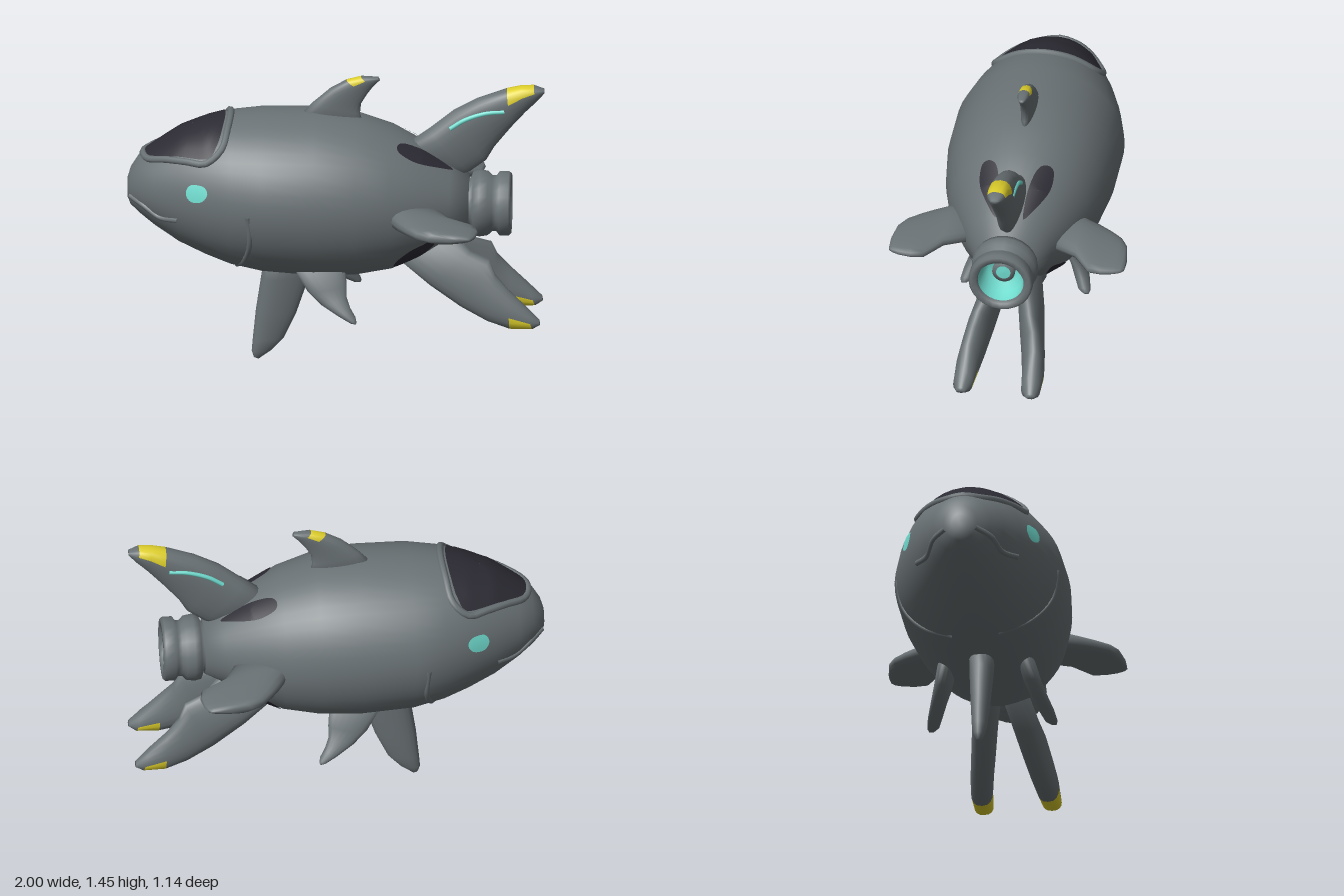
import * as THREE from 'three';

const mat = (name, color) => {
  const m = new THREE.MeshStandardMaterial({ color });
  m.name = name;
  return m;
};

// Body stations: x, top y, bottom y, half width
const BODY = [
  [-1.0, 0.92, 0.82, 0.04], [-0.985, 0.97, 0.785, 0.08], [-0.94, 1.04, 0.745, 0.14],
  [-0.87, 1.09, 0.69, 0.195], [-0.75, 1.17, 0.61, 0.265], [-0.62, 1.22, 0.55, 0.325],
  [-0.5, 1.25, 0.505, 0.37], [-0.35, 1.265, 0.475, 0.41], [-0.1, 1.27, 0.455, 0.41],
  [0.1, 1.245, 0.46, 0.385], [0.27, 1.19, 0.49, 0.34], [0.42, 1.11, 0.555, 0.27],
  [0.55, 1.02, 0.64, 0.2], [0.64, 0.95, 0.68, 0.135],
];

// Point on the body skin at x, angle a from the top (positive towards +z)
function onBody(x, a, off = 0) {
  let i = 0;
  while (i < BODY.length - 2 && BODY[i + 1][0] < x) i++;
  const [p, q] = [BODY[i], BODY[i + 1]];
  const t = (x - p[0]) / (q[0] - p[0]);
  const [top, bottom, half] = [1, 2, 3].map((k) => p[k] + (q[k] - p[k]) * t);
  return new THREE.Vector3(x, (top + bottom) / 2 + ((top - bottom) / 2 + off) * Math.cos(a),
    (half + off) * Math.sin(a));
}

// Joins rings of points into a surface; faces are turned away from centre c
function loft(rings, c, capStart, capEnd, slot = () => 0) {
  const n = rings[0].length;
  const pts = rings.flat();
  const lists = [[], []];
  for (let i = 0; i < rings.length - 1; i++) {
    for (let j = 0; j < n; j++) {
      const k = (j + 1) % n, a = i * n, b = a + n;
      lists[slot(i, j)].push(a + j, b + j, b + k, a + j, b + k, a + k);
    }
  }
  const cap = (start, flip) => {
    const mid = new THREE.Vector3();
    for (let j = 0; j < n; j++) mid.addScaledVector(pts[start + j], 1 / n);
    pts.push(mid);
    for (let j = 0; j < n; j++) {
      const e = [start + j, start + (j + 1) % n];
      if (flip) e.reverse();
      lists[0].push(pts.length - 1, ...e);
    }
  };
  if (capStart) cap(0, true);
  if (capEnd) cap((rings.length - 1) * n, false);
  if (capStart) { // a cap fan must run against the side walls on its shared edge
    const m = capEnd ? 2 : 1, l = lists[0], s = l.length - 3 * n * m;
    for (let f = s; f < l.length; f += 3) {
      const start = f < s + 3 * n;
      const [u, v] = [l[f + 1], l[f + 2]];
      const forward = (u + 1 === v) || (v < u && u - v === n - 1);
      if (forward !== start) [l[f + 1], l[f + 2]] = [v, u];
    }
  }
  const index = lists.flat();
  let volume = 0;
  const [A, B, C] = [new THREE.Vector3(), new THREE.Vector3(), new THREE.Vector3()];
  for (let f = 0; f < index.length; f += 3) {
    A.copy(pts[index[f]]).sub(c);
    B.copy(pts[index[f + 1]]).sub(c);
    C.copy(pts[index[f + 2]]).sub(c);
    volume += A.dot(B.cross(C));
  }
  if (volume < 0) {
    for (let f = 0; f < index.length; f += 3) [index[f], index[f + 1]] = [index[f + 1], index[f]];
  }
  const g = new THREE.BufferGeometry().setFromPoints(pts);
  g.setIndex(index);
  g.addGroup(0, lists[0].length, 0);
  g.addGroup(lists[0].length, lists[1].length, 1);
  g.computeVertexNormals();
  return g;
}

// Fin from stations [lead x, lead y, trail x, trail y, z, half thickness]
function fin(stations, side = 1, yellow = () => false) {
  const n = 20;
  const rings = stations.map(([lx, ly, tx, ty, z, w]) => Array.from({ length: n }, (_, j) => {
    const t = (j / n) * Math.PI * 2, c = Math.cos(t), s = Math.sin(t);
    const thick = w * Math.sign(s) * Math.abs(s) ** 0.8 * (1 + 0.25 * c);
    return new THREE.Vector3((lx + tx) / 2 + c * (lx - tx) / 2, (ly + ty) / 2 + c * (ly - ty) / 2,
      side * (z + thick));
  }));
  const nearLead = (j) => Math.cos(((j + 0.5) / n) * Math.PI * 2) > 0.25;
  return loft(rings, rings[0][0], true, true, (i, j) => (yellow(i) && nearLead(j) ? 1 : 0));
}

// Thin painted patch following the skin, from an outline of [x, angle]
function patch(outline, side = 1) {
  const loop = new THREE.CatmullRomCurve3(outline.map(([x, a]) => new THREE.Vector3(x, a, 0)), true)
    .getPoints(40).slice(0, 40);
  const mid = loop.reduce((s, p) => s.addScaledVector(p, 1 / 40), new THREE.Vector3());
  const rings = [1, 0.8, 0.6, 0.4, 0.2, 0.01].map((k) => loop.map((p) => {
    const q = mid.clone().lerp(p, k);
    return onBody(q.x, q.y * side, 0.006);
  }));
  return loft(rings, new THREE.Vector3(mid.x, 0.85, 0), false, false);
}

const tube = (points, r, closed = false) =>
  new THREE.TubeGeometry(new THREE.CatmullRomCurve3(points, closed), 48, r, 8, closed);

export function createModel() {
  const grey = mat('hullGrey', 0x6a7275);
  const dark = mat('darkGlass', 0x2c2b34);
  const cyan = mat('glowCyan', 0x70dccf);
  const yellow = mat('tipYellow', 0xdfd02c);
  const model = new THREE.Group();
  const add = (name, geometry, material) => {
    const m = new THREE.Mesh(geometry, material);
    m.name = name;
    model.add(m);
    return m;
  };

  // Hull
  const rings = BODY.map(([x]) => Array.from({ length: 48 }, (_, j) => onBody(x, (j / 48) * Math.PI * 2)));
  add('body', loft(rings, new THREE.Vector3(0, 0.85, 0), true, true), [grey, grey]);

  // Canopy and its frame
  const half = [[-0.895, 0.48], [-0.8, 0.7], [-0.7, 0.82], [-0.61, 0.87], [-0.565, 0.68], [-0.54, 0.35]];
  const canopy = [[-0.92, 0], ...half, [-0.53, 0], ...half.map(([x, a]) => [x, -a]).reverse()];
  add('canopy', patch(canopy), dark);
  add('canopyFrame', tube(canopy.map(([x, a]) =>
    onBody(x + (x > -0.58 ? 0.025 : -0.005), a * 1.07, -0.002)), 0.018, true), grey);

  // Tail fin
  add('tailFin', fin([
    [0.3, 1.08, 0.52, 0.93, 0, 0.06], [0.45, 1.19, 0.64, 0.97, 0, 0.06],
    [0.56, 1.28, 0.72, 1.03, 0, 0.058], [0.68, 1.345, 0.76, 1.1, 0, 0.055],
    [0.82, 1.395, 0.84, 1.2, 0, 0.055], [0.89, 1.41, 0.91, 1.28, 0, 0.05],
    [0.95, 1.412, 0.96, 1.33, 0, 0.042], [1, 1.395, 1, 1.375, 0, 0.02],
  ], 1, (i) => i === 4 || i === 5), [grey, yellow]);

  // Dorsal fin
  add('dorsalFin', fin([
    [-0.2, 1.22, 0.14, 1.17, 0, 0.035], [-0.11, 1.315, 0.115, 1.26, 0, 0.035],
    [-0.03, 1.385, 0.12, 1.31, 0, 0.033], [0.05, 1.43, 0.15, 1.36, 0, 0.03],
    [0.12, 1.448, 0.18, 1.4, 0, 0.028], [0.2, 1.445, 0.21, 1.43, 0, 0.015],
  ], 1, (i) => i === 3), [grey, yellow]);

  // Long belly fin
  add('bellyFin', fin([
    [-0.34, 0.55, -0.1, 0.55, 0, 0.06], [-0.36, 0.42, -0.13, 0.42, 0, 0.055],
    [-0.385, 0.25, -0.19, 0.24, 0, 0.045], [-0.4, 0.1, -0.25, 0.11, 0, 0.035],
    [-0.405, 0.04, -0.31, 0.045, 0, 0.025], [-0.395, 0.01, -0.37, 0, 0, 0.01],
  ]), [grey, grey]);

  for (const s of [1, -1]) {
    const tag = s > 0 ? 'Front' : 'Back';

    // Splayed lower tail fins
    add('lowerTailFin' + tag, fin([
      [0.28, 0.56, 0.55, 0.7, 0.06, 0.06], [0.45, 0.43, 0.65, 0.6, 0.1, 0.06],
      [0.6, 0.33, 0.74, 0.57, 0.125, 0.058], [0.73, 0.265, 0.77, 0.5, 0.145, 0.055],
      [0.84, 0.232, 0.83, 0.43, 0.16, 0.052], [0.95, 0.235, 0.92, 0.34, 0.165, 0.045],
      [0.985, 0.255, 0.98, 0.28, 0.17, 0.02],
    ], s, (i) => i === 4), [grey, yellow]);

    // Small pelvic fins
    add('pelvicFin' + tag, fin([
      [-0.2, 0.54, 0.05, 0.56, 0.19, 0.04], [-0.13, 0.43, 0.06, 0.46, 0.22, 0.04],
      [-0.06, 0.37, 0.06, 0.41, 0.245, 0.038], [0.02, 0.325, 0.08, 0.36, 0.27, 0.035],
      [0.08, 0.295, 0.105, 0.32, 0.287, 0.028], [0.105, 0.29, 0.11, 0.3, 0.297, 0.012],
    ], s), [grey, grey]);

    // Side fins: built upright, then laid flat
    const flat = fin([
      [0.24, 0.22, 0.52, 0.22, 0, 0.055], [0.27, 0.32, 0.57, 0.32, 0, 0.052],
      [0.31, 0.4, 0.69, 0.4, 0, 0.045], [0.35, 0.46, 0.7, 0.46, 0, 0.038],
      [0.4, 0.52, 0.69, 0.52, 0, 0.032], [0.46, 0.555, 0.675, 0.555, 0, 0.025],
      [0.56, 0.572, 0.66, 0.57, 0, 0.012],
    ]);
    flat.rotateX(s * Math.PI / 2).translate(0, 0.825, 0);
    add('sideFin' + tag, flat, [grey, grey]);

    // Eyes and dark hull panels
    add('eye' + tag, patch([[-0.71, 1.4], [-0.68, 1.25], [-0.63, 1.26], [-0.605, 1.36], [-0.64, 1.5], [-0.68, 1.52]], s), cyan);
    add('upperPanel' + tag, patch([[0.31, 0.56], [0.33, 0.33], [0.45, 0.27], [0.56, 0.33], [0.5, 0.53], [0.4, 0.64]], s), dark);
    add('lowerPanel' + tag, patch([[0.3, 2.62], [0.3, 2.4], [0.4, 2.19], [0.48, 2.17], [0.47, 2.4], [0.38, 2.6]], s), dark);

    // Glowing fin stripe
    add('finStripe' + tag, tube([[0.55, 1.205], [0.62, 1.25], [0.72, 1.285], [0.81, 1.295]]
      .map(([x, y]) => new THREE.Vector3(x, y, s * 0.053)), 0.011), cyan);

    // Mouth crease and gill ridge
    add('lip' + tag, tube([[-0.985, 1.9], [-0.92, 2.0], [-0.84, 2.1], [-0.75, 1.95]]
      .map(([x, a]) => onBody(x, a * s, -0.004)), 0.014), grey);
    add('gillRidge' + tag, tube([[-0.41, 1.6], [-0.4, 2.0], [-0.43, 2.4], [-0.47, 2.85]]
      .map(([x, a]) => onBody(x, a * s, -0.006)), 0.014), grey);
  }

  // Engine: shell, glowing bowl and hub, turned about the long axis
  const lathe = (name, points, material) => {
    const m = add(name, new THREE.LatheGeometry(points.map(([r, x]) => new THREE.Vector2(r, x)), 24), material);
    m.rotation.z = -Math.PI / 2;
    m.position.y = 0.81;
  };
  lathe('engineShell', [[0.13, 0.58], [0.12, 0.645], [0.155, 0.66], [0.162, 0.69], [0.155, 0.73],
    [0.135, 0.75], [0.135, 0.77], [0.155, 0.785], [0.155, 0.83], [0.145, 0.842], [0.118, 0.842], [0.112, 0.82]], grey);
  lathe('engineGlow', [[0.112, 0.82], [0.1, 0.76], [0.075, 0.72], [0, 0.715]], cyan);
  lathe('engineHubRing', [[0.055, 0.71], [0.055, 0.74], [0.035, 0.745]], grey);
  lathe('engineHub', [[0.037, 0.743], [0, 0.745]], cyan);

  return model;
}
